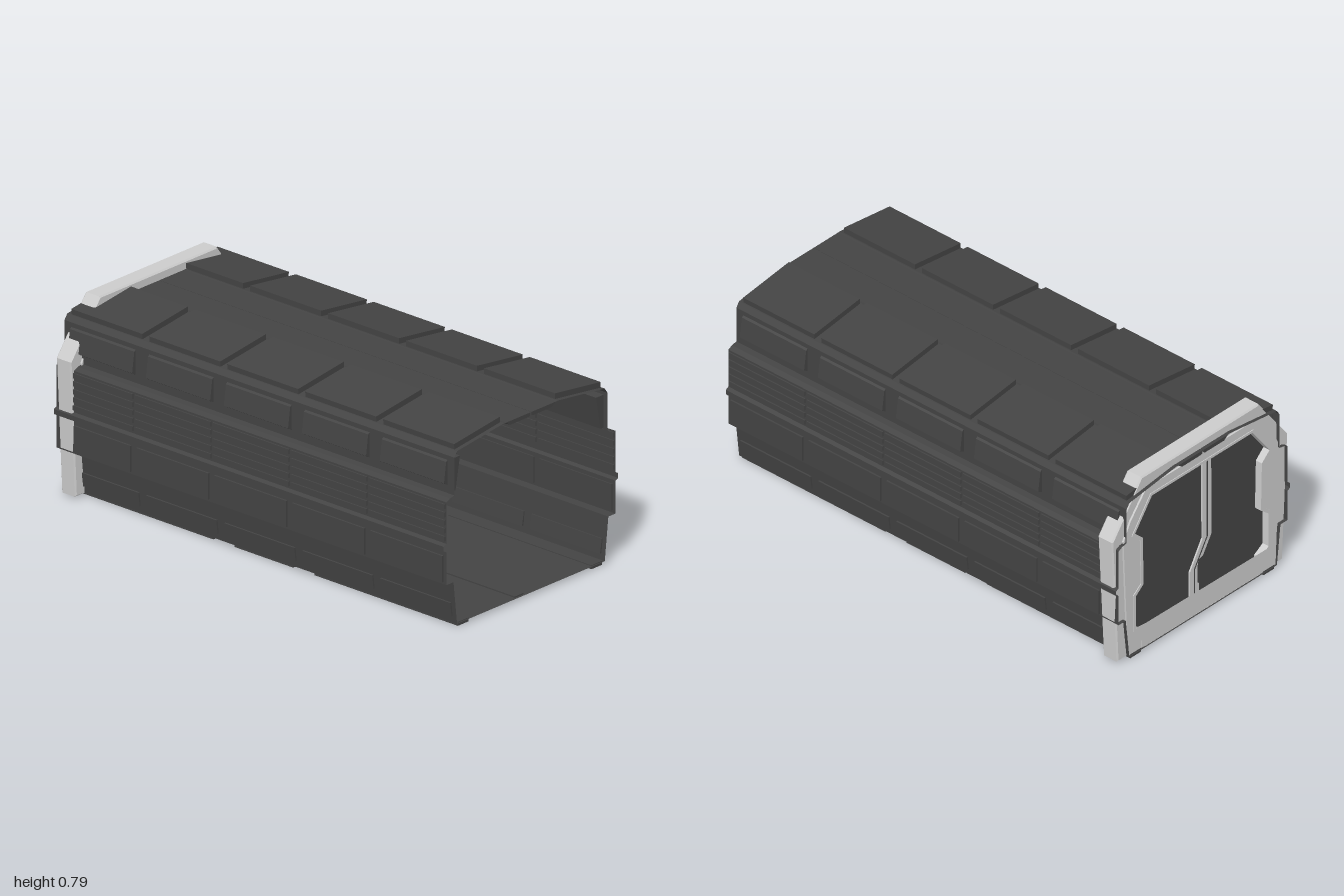
import * as THREE from 'three';

const dark = new THREE.MeshStandardMaterial({ color: 0x434343, flatShading: true, side: THREE.DoubleSide });
const grey = new THREE.MeshStandardMaterial({ color: 0xcccccc, flatShading: true, side: THREE.DoubleSide });

const shapeOf = (pts) => new THREE.Shape(pts.map(([x, y]) => new THREE.Vector2(x, y)));
const flip = (pts) => pts.map(([x, y]) => [-x, y]);
// closes a right-half outline with its mirror image
const symmetric = (pts) => [...pts, ...flip(pts).reverse()];

export function createModel() {
  const model = new THREE.Group();

  function add(name, geometry, material) {
    const mesh = new THREE.Mesh(geometry, material);
    mesh.name = name;
    model.add(mesh);
    return mesh;
  }

  // cross-section in x, y drawn out from z0 to z1
  function prism(name, pts, z0, z1, material = dark, hole = null, bevel = 0) {
    const shape = shapeOf(pts);
    if (hole) shape.holes.push(shapeOf(hole));
    const geometry = new THREE.ExtrudeGeometry(shape, {
      depth: z1 - z0 - 2 * bevel, bevelEnabled: bevel > 0, bevelThickness: bevel,
      bevelSize: bevel, bevelOffset: -bevel, bevelSegments: 1,
    });
    geometry.translate(0, 0, z0 + bevel);
    return add(name, geometry, material);
  }

  function both(name, pts, z0, z1, material = dark) {
    prism(name + 'Left', pts, z0, z1, material);
    prism(name + 'Right', flip(pts), z0, z1, material);
  }

  const rect = (x0, x1, y0, y1) => [[x0, y0], [x1, y0], [x1, y1], [x0, y1]];

  // thin hull: floor, stepped walls and roof as one open-ended skin
  const half = [
    [0, 0.013], [0.415, 0.013], [0.435, 0.19], [0.475, 0.19], [0.475, 0.325], [0.49, 0.332],
    [0.49, 0.352], [0.475, 0.36], [0.475, 0.53], [0.455, 0.54], [0.43, 0.545], [0.43, 0.7],
    [0.415, 0.722], [0.15, 0.755], [0.13, 0.753], [0, 0.753],
  ];
  const loop = symmetric(half);
  const position = [];
  loop.forEach(([x0, y0], i) => {
    const [x1, y1] = loop[(i + 1) % loop.length];
    if (Math.hypot(x1 - x0, y1 - y0) < 1e-6) return;
    position.push(x0, y0, 1, x0, y0, -1, x1, y1, -1, x0, y0, 1, x1, y1, -1, x1, y1, 1);
  });
  const hull = new THREE.BufferGeometry();
  hull.setAttribute('position', new THREE.Float32BufferAttribute(position, 3));
  hull.computeVertexNormals();
  add('hull', hull, dark);

  // five bays of plating along the length
  for (let i = 0; i < 5; i++) {
    const c = 0.8 - 0.4 * i;
    const z0 = i === 4 ? -0.905 : c - 0.185;
    const z1 = c + 0.185;
    both('roofPanel', [[0.41, 0.722], [0.412, 0.745], [0.155, 0.778], [0.155, 0.755]], c - 0.182, c + 0.182);
    both('upperWallPanel', [[0.425, 0.575], [0.45, 0.59], [0.438, 0.675], [0.425, 0.685]],
      c - 0.165, c + 0.165);
    both('innerWallTrim', [[0.425, 0.69], [0.382, 0.69], [0.407, 0.555], [0.425, 0.555]], z0, z1);
    both('middleWallPanel', rect(0.47, 0.483, 0.2, 0.308), z0, z1);
    both('lowerWallPanel', [[0.41, 0.04], [0.424, 0.04], [0.432, 0.098], [0.42, 0.098]], c - 0.18, c + 0.18);
    for (let k = 0; k < 5; k++) {
      const y = 0.37 + 0.033 * k;
      both('louverSlat', rect(0.47, 0.481, y, y + 0.02), z0 - 0.01, z1 + 0.01);
    }
  }

  // centre roof plates either side of the seam
  both('centreRoofPlate', [[0.004, 0.742], [0.012, 0.738], [0.118, 0.738], [0.14, 0.754], [0.004, 0.754]], -1, 1);

  // floor runners under the edges
  [[0.26, 0.995], [-0.15, 0.15], [-0.995, -0.26]].forEach(([z0, z1]) =>
    both('floorRunner', rect(0.345, 0.405, 0, 0.016), z0, z1));

  // stepped seam strip along the floor
  const seam = new THREE.ExtrudeGeometry(shapeOf([
    [-0.08, -0.99], [-0.03, -0.99], [-0.03, -0.14], [0.08, 0], [0.08, 0.99],
    [0.03, 0.99], [0.03, 0.02], [-0.08, -0.12],
  ]), { depth: 0.008, bevelEnabled: false });
  seam.rotateX(-Math.PI / 2).translate(0, 0.01, 0);
  add('floorSeam', seam, dark);

  // door bulkhead: collar standing outside the hull, with a notched opening
  const opening = symmetric([
    [0.325, 0.015], [0.325, 0.09], [0.373, 0.12], [0.373, 0.27], [0.33, 0.305],
    [0.335, 0.52], [0.378, 0.56], [0.283, 0.688],
  ]);
  const collar = symmetric([[0.465, 0.008], [0.495, 0.57], [0.33, 0.79]]);
  prism('doorCollar', collar, -0.985, -0.91, grey, opening, 0.006);
  const frame = symmetric([[0.415, 0.014], [0.44, 0.55], [0.4, 0.625], [0.31, 0.735]]);
  prism('doorFrame', frame, -0.993, -0.902, grey, opening);
  const lip = symmetric([
    [0.34, 0.016], [0.34, 0.082], [0.387, 0.112], [0.387, 0.278], [0.344, 0.312],
    [0.349, 0.513], [0.395, 0.556], [0.29, 0.699],
  ]);
  prism('doorLip', lip, -0.996, -0.897, grey, opening);

  // door leaves with the stepped centre strip
  prism('doorLeaves', opening, -0.965, -0.93);
  prism('doorStrip', [
    [-0.076, 0.688], [-0.078, 0.32], [-0.03, 0.242], [-0.005, 0.235], [0.002, 0.2], [0.002, 0.135],
    [-0.008, 0.125], [-0.008, 0.015], [0.044, 0.015], [0.043, 0.2], [-0.028, 0.32], [-0.027, 0.688],
  ], -0.972, -0.923, grey);
  prism('doorStripSeam', [
    [-0.055, 0.688], [-0.055, 0.32], [0.016, 0.203], [0.016, 0.015],
    [0.02, 0.015], [0.02, 0.205], [-0.051, 0.322], [-0.051, 0.688],
  ], -0.974, -0.921, dark);

  // control panel beside the door
  prism('controlPanel', rect(-0.427, -0.365, 0.33, 0.512), -0.91, -0.894, grey);
  for (let i = 0; i < 9; i++) {
    const y = i < 6 ? 0.495 - 0.011 * i : 0.4 - 0.011 * (i - 6);
    prism('controlSlot', rect(-0.418, -0.374, y, y + 0.003), -0.9, -0.892, dark);
  }

  return model;
}
